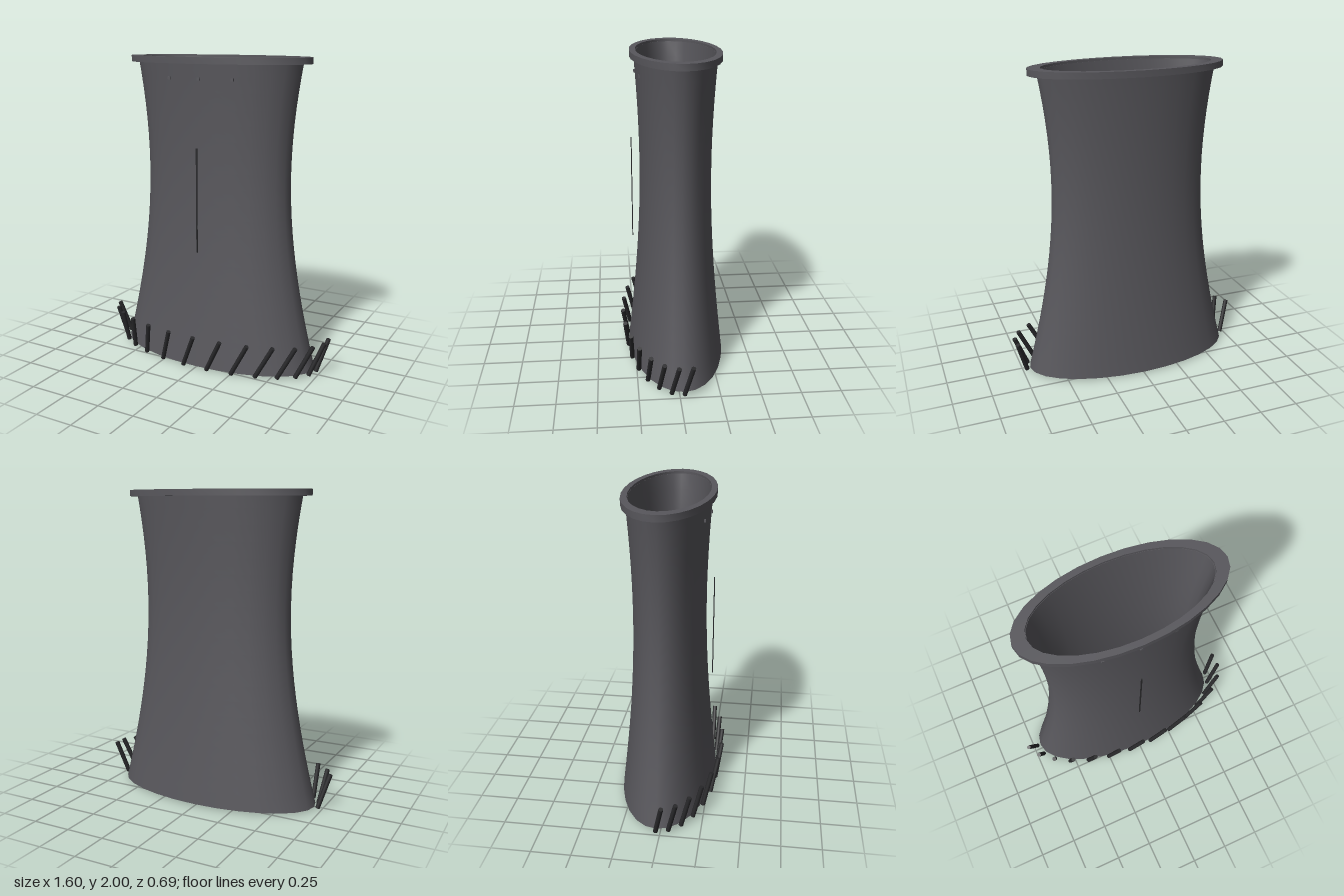
import * as THREE from 'three';
import { toCreasedNormals } from 'three/addons/utils/BufferGeometryUtils.js';

const concrete = new THREE.MeshStandardMaterial({ color: 0x58575c });
concrete.name = 'concrete grey';
const dark = new THREE.MeshStandardMaterial({ color: 0x29292b });
dark.name = 'dark grey';

const FLAT = 0.45; // depth of the oval plan relative to its width
const CZ = -0.03; // centre of the oval in z
const SIDES = 28;

// Hyperbolic outer radius at height y
const radius = (y) => 0.508 * Math.hypot(1, (y - 1.27) / 1.329);

// Point on an oval ring
const onOval = (r, angle, y) =>
  new THREE.Vector3(r * Math.cos(angle), y, CZ + FLAT * r * Math.sin(angle));

// Lathe squashed to the oval plan
function ovalLathe(name, points) {
  const geo = new THREE.LatheGeometry(points.map(([r, y]) => new THREE.Vector2(r, y)), SIDES);
  geo.scale(1, 1, FLAT);
  geo.translate(0, 0, CZ);
  const mesh = new THREE.Mesh(toCreasedNormals(geo, 0.8), concrete);
  mesh.name = name;
  return mesh;
}

function box(name, material, size, position) {
  const mesh = new THREE.Mesh(new THREE.BoxGeometry(...size), material);
  mesh.name = name;
  mesh.position.set(...position);
  return mesh;
}

// Straight rod between two points
function rod(name, a, b, r) {
  const mesh = new THREE.Mesh(new THREE.CylinderGeometry(r, r, a.distanceTo(b), 8), dark);
  mesh.name = name;
  mesh.position.copy(a).add(b).multiplyScalar(0.5);
  mesh.quaternion.setFromUnitVectors(new THREE.Vector3(0, 1, 0), b.clone().sub(a).normalize());
  return mesh;
}

export function createModel() {
  const model = new THREE.Group();
  model.name = 'coolingTower';

  // Hollow shell: base, outer wall, inner wall, floor
  const steps = 20, bottom = 0.01, top = 1.985, wall = 0.03;
  const outer = [], inner = [];
  for (let i = 0; i <= steps; i++) {
    const y = bottom + ((top - bottom) * i) / steps;
    outer.push([radius(y), y]);
    inner.unshift([radius(y) - wall, i ? y : bottom + 0.02]);
  }
  model.add(ovalLathe('towerShell', [[0, bottom], ...outer, ...inner, [0, bottom + 0.02]]));

  // Flat collar around the mouth
  model.add(ovalLathe('topRim', [[0.55, 1.96], [0.632, 1.96], [0.632, 2], [0.55, 2], [0.55, 1.96]]));

  // Leaning struts around the front half of the base
  const struts = new THREE.Group();
  struts.name = 'baseStruts';
  const count = 14;
  for (let i = 0; i < count; i++) {
    const angle = Math.PI * (1 - i / (count - 1));
    struts.add(rod('strut', onOval(0.722, angle, 0.007), onOval(0.793, angle - 0.13, 0.227), 0.015));
  }
  model.add(struts);

  // Thin vertical strip standing off the front
  model.add(box('frontStrip', dark, [0.008, 0.67, 0.006], [0, 1.115, 0.25]));

  // Three small blocks below the rim
  for (const x of [-0.22, 0, 0.22]) {
    const r = radius(1.87);
    const z = CZ + FLAT * Math.sqrt(r * r - x * x);
    model.add(box('smallBlock', concrete, [0.018, 0.018, 0.016], [x, 1.87, z]));
  }

  return model;
}
